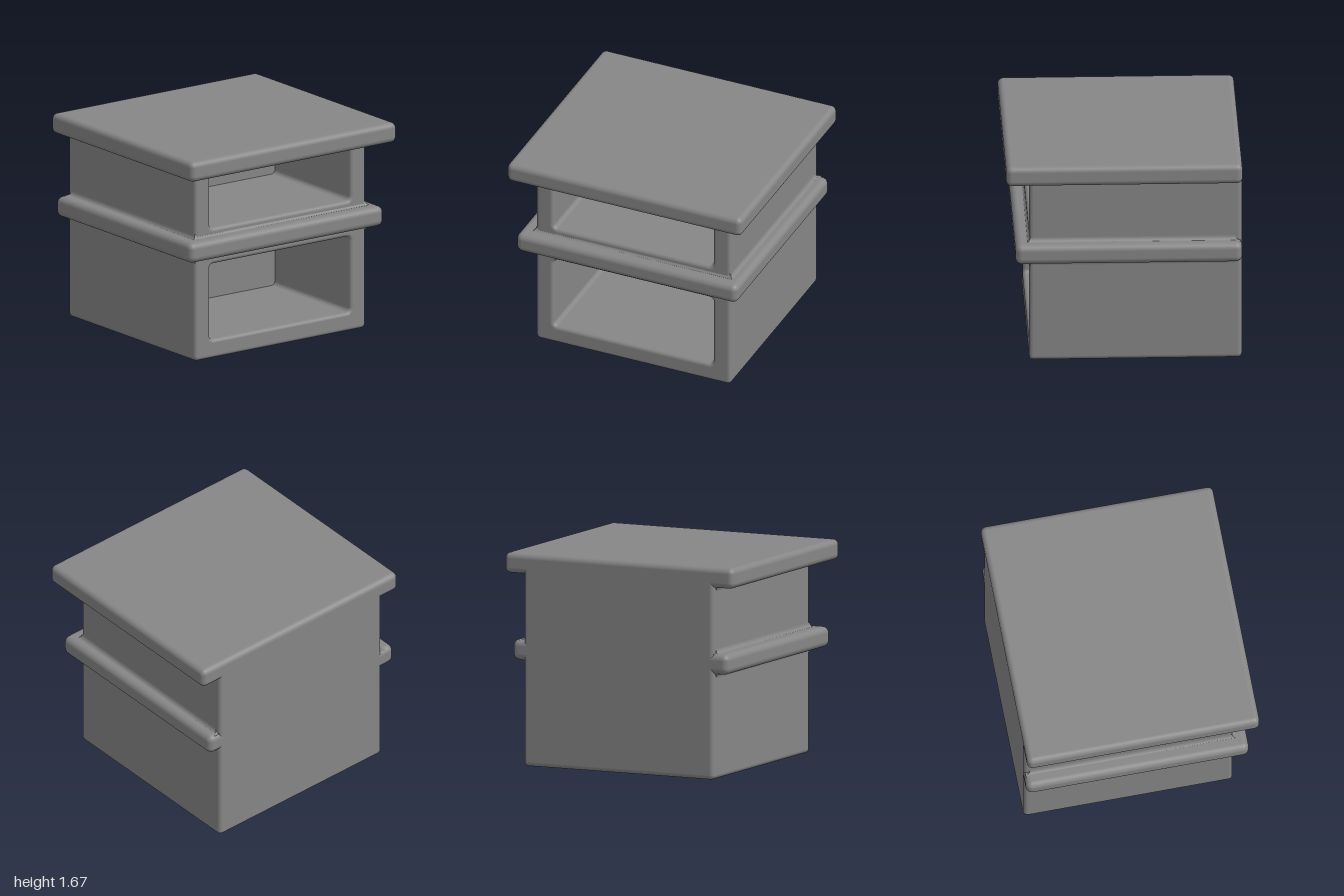
import * as THREE from 'three';
import { RoundedBoxGeometry } from 'three/addons/geometries/RoundedBoxGeometry.js';
import { toCreasedNormals } from 'three/addons/utils/BufferGeometryUtils.js';

const BACK = -0.92;
const HALF_WIDTH = 0.83;

// Trace a rounded rectangle onto a Shape or Path
function roundedRect(path, x0, y0, x1, y1, r) {
  path.moveTo(x0 + r, y0);
  path.lineTo(x1 - r, y0);
  path.absarc(x1 - r, y0 + r, r, -Math.PI / 2, 0);
  path.lineTo(x1, y1 - r);
  path.absarc(x1 - r, y1 - r, r, 0, Math.PI / 2);
  path.lineTo(x0 + r, y1);
  path.absarc(x0 + r, y1 - r, r, Math.PI / 2, Math.PI);
  path.lineTo(x0, y0 + r);
  path.absarc(x0 + r, y0 + r, r, Math.PI, Math.PI * 1.5);
  return path;
}

// Four-sided concave fillet that meets a slab at height y; dir is +1 below the slab, -1 above it
function coveGeometry(y, dir) {
  const size = 0.04, steps = 6, points = [];
  for (let i = 0; i <= steps; i++) {
    const t = (i / steps) * Math.PI / 2;
    const reach = HALF_WIDTH + size * (1 - Math.cos(t));
    points.push(new THREE.Vector2(reach * Math.SQRT2, y + dir * size * (Math.sin(t) - 1)));
  }
  if (dir < 0) points.reverse();
  const geometry = new THREE.LatheGeometry(points, 4, Math.PI / 4);
  geometry.scale(1, 1, 0.8 / HALF_WIDTH);
  geometry.translate(0, 0, -0.07);
  return toCreasedNormals(geometry, 0.5);
}

export function createModel() {
  const group = new THREE.Group();
  const material = new THREE.MeshStandardMaterial({ color: 0x868686 });

  const add = (name, geometry) => {
    const mesh = new THREE.Mesh(geometry, material);
    mesh.name = name;
    group.add(mesh);
    return mesh;
  };

  // Soft-edged block given by its limits
  const block = (name, x0, x1, y0, y1, z0, z1, r) => {
    const mesh = add(name, new RoundedBoxGeometry(x1 - x0, y1 - y0, z1 - z0, 5, r));
    mesh.position.set((x0 + x1) / 2, (y0 + y1) / 2, (z0 + z1) / 2);
  };

  // Front frame with an upper and a lower open compartment
  const outline = roundedRect(new THREE.Shape(), -HALF_WIDTH, 0.01, HALF_WIDTH, 1.6, 0.035);
  for (const [bottom, top] of [[0.16, 0.77], [1.06, 1.51]]) {
    outline.holes.push(roundedRect(new THREE.Path(), -0.68, bottom, 0.68, top, 0.035));
  }
  const bevel = 0.03, frameBack = -0.5, frameFront = 0.735;
  const frame = new THREE.ExtrudeGeometry(outline, {
    depth: frameFront - frameBack - 2 * bevel,
    bevelThickness: bevel,
    bevelSize: bevel,
    bevelOffset: -bevel,
    bevelSegments: 8,
    curveSegments: 8,
  });
  frame.translate(0, 0, frameBack + bevel);
  add('cabinetFrame', frame);

  // Solid rear, closing the compartments
  block('cabinetBack', -HALF_WIDTH, HALF_WIDTH, 0.01, 1.6, BACK, -0.25, 0.035);

  // Overhanging slabs, flush at the back
  block('middleShelf', -0.955, 0.93, 0.84, 1.0, BACK, 0.845, 0.05);
  block('tabletop', -1, 1, 1.52, 1.68, BACK, 0.92, 0.045);

  // Fillets where the slabs meet the cabinet
  add('tabletopFillet', coveGeometry(1.53, 1));
  add('shelfUpperFillet', coveGeometry(0.995, -1));
  add('shelfLowerFillet', coveGeometry(0.845, 1));

  return group;
}
